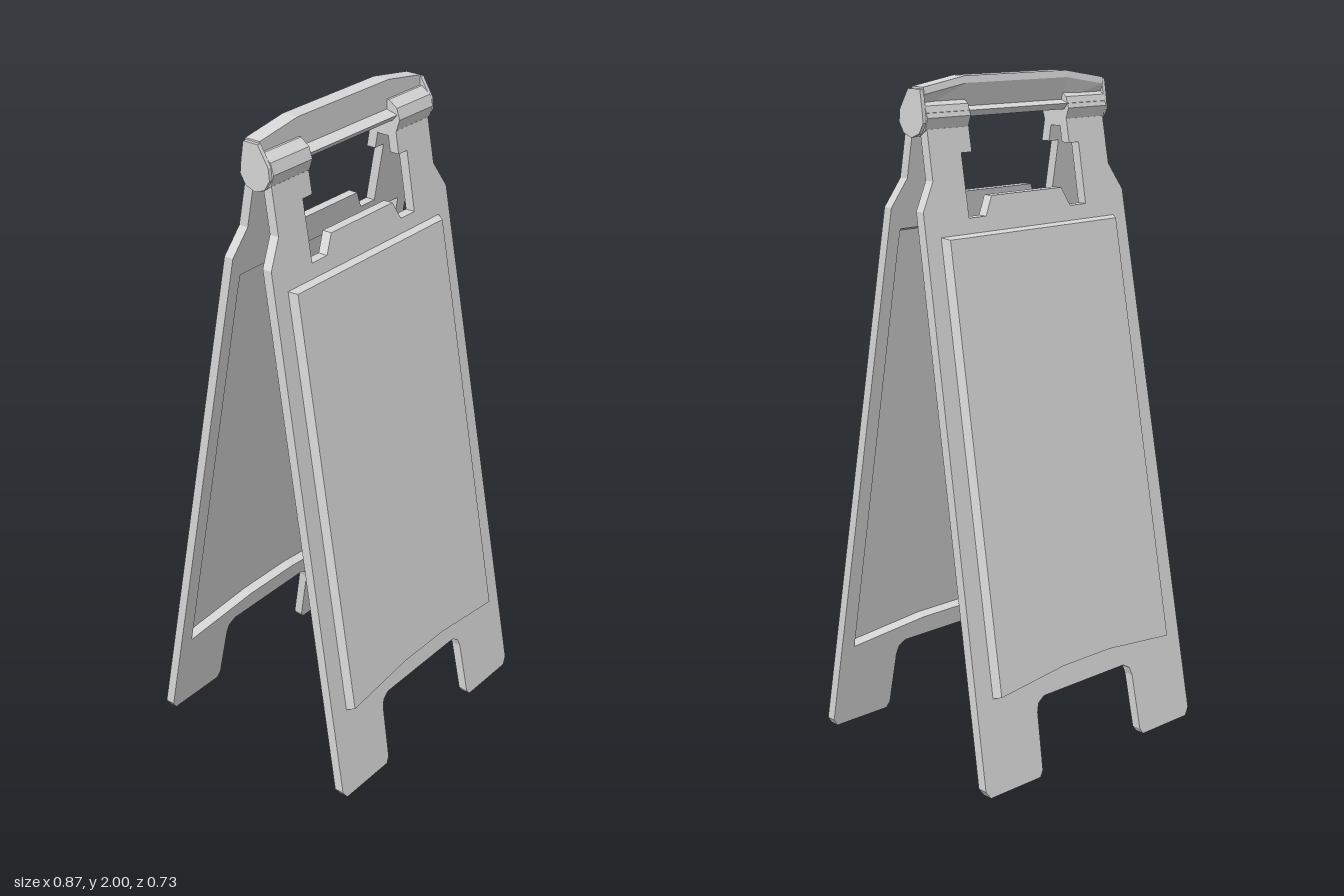
import * as THREE from 'three';

const plastic = new THREE.MeshStandardMaterial({ color: 0xd6d6d6 });
plastic.name = 'light grey plastic';

const toPath = (points, Kind = THREE.Shape) =>
  new Kind(points.map(([x, y]) => new THREE.Vector2(x, y)));

// Takes the right half of an outline (bottom to top) and closes it symmetrically
const mirrored = (half) => [...half, ...half.slice().reverse().map(([x, y]) => [-x, y])];

// Moves every vertex by a rule and restores crisp facets
function reshape(geometry, rule) {
  const g = geometry.index ? geometry.toNonIndexed() : geometry;
  const p = g.attributes.position;
  const v = new THREE.Vector3();
  for (let i = 0; i < p.count; i++) {
    v.fromBufferAttribute(p, i);
    rule(v);
    p.setXYZ(i, v.x, v.y, v.z);
  }
  g.computeVertexNormals();
  return g;
}

// Extrudes a [z, y] profile sideways, centred on x
function alongX(profile, length, x, steps = 1) {
  const shape = toPath(profile.map(([z, y]) => [-z, y]));
  const g = new THREE.ExtrudeGeometry(shape, { depth: length, steps, bevelEnabled: false });
  g.rotateY(Math.PI / 2);
  g.translate(x - length / 2, 0, 0);
  return g;
}

function add(parent, name, geometry) {
  const mesh = new THREE.Mesh(geometry, plastic);
  mesh.name = name;
  parent.add(mesh);
}

const THICK = 0.03;
const signShape = [...mirrored([[0.367, 0.275], [0.347, 1.567]]), [-0.1, 0.3], [0.1, 0.3]];

// Grows or shrinks the sign outline about its middle
function scaleSign(v, sx, sy) {
  v.x *= sx;
  v.y = 0.92 + (v.y - 0.92) * sy;
}

function createBoard(name, slope) {
  const board = new THREE.Group();
  board.name = name;
  const lean = (v) => { v.z += 0.335 - slope * v.y; };

  // Frame with feet, shoulders, hinge posts and a stepped grip opening
  const frame = toPath(mirrored([
    [0.17, 0.23], [0.195, 0.215], [0.203, 0.19], [0.21, 0.02], [0.222, 0.002],
    [0.42, 0.002], [0.436, 0.025], [0.4, 1.64], [0.352, 1.72], [0.35, 1.86],
    [0.195, 1.86], [0.195, 1.79], [0.235, 1.79], [0.235, 1.61], [0.17, 1.61], [0.14, 1.665],
  ]));
  frame.holes.push(toPath(signShape, THREE.Path));
  const frameGeometry = new THREE.ExtrudeGeometry(frame, { depth: THICK, bevelEnabled: false });
  add(board, 'boardFrame', reshape(frameGeometry, (v) => {
    // The sign opening flares towards the inside of the board
    if (v.y > 0.25 && v.y < 1.6 && v.z < 0.01) scaleSign(v, 1.04, 1.015);
    lean(v);
  }));

  // Raised sign face with narrow sloping borders
  const signGeometry = new THREE.ExtrudeGeometry(toPath(signShape), { depth: 0.023, bevelEnabled: false });
  add(board, 'signFace', reshape(signGeometry, (v) => {
    if (v.z > 0.01) scaleSign(v, 0.963, 0.991);
    v.z += THICK;
    lean(v);
  }));
  return board;
}

export function createModel() {
  const model = new THREE.Group();
  model.name = 'foldingFloorSign';

  // The hinge sits slightly forward, so the two boards lean a little differently
  const back = createBoard('backBoard', 0.175);
  back.rotation.y = Math.PI;
  model.add(createBoard('frontBoard', 0.169), back);

  // Carrying handle: upright grip on a wider base, its top dropping at both ends
  const handle = alongX([
    [0.04, 1.887], [0.055, 1.905], [0.018, 1.915], [0.018, 2],
    [-0.032, 2], [-0.036, 1.98], [-0.018, 1.915], [-0.044, 1.905], [-0.03, 1.887],
  ], 0.71, 0, 3);
  add(model, 'carryHandle', reshape(handle, (v) => {
    if (Math.abs(v.x) < 0.3) v.x = Math.sign(v.x) * 0.2;
    else if (v.y > 1.95) v.y -= 0.025;
  }));

  // Hinge sleeves round each end of the handle, with teardrop end caps
  const capProfile = [[0.02, 1.97], [-0.03, 1.97]];
  for (let i = 0; i <= 6; i++) {
    const a = Math.PI * (0.86 + i * 0.2133);
    capProfile.push([0.008 + 0.052 * Math.cos(a), 1.89 + 0.054 * Math.sin(a)]);
  }
  for (const [side, s] of [['left', 1], ['right', -1]]) {
    const sleeve = new THREE.CylinderGeometry(0.056, 0.056, 0.16, 10);
    sleeve.rotateZ(Math.PI / 2);
    sleeve.translate(s * 0.275, 1.891, 0.008);
    add(model, side + 'HingeSleeve', reshape(sleeve, () => {}));
    add(model, side + 'HingeCap', alongX(capProfile, 0.013, s * 0.36));
  }
  return model;
}
